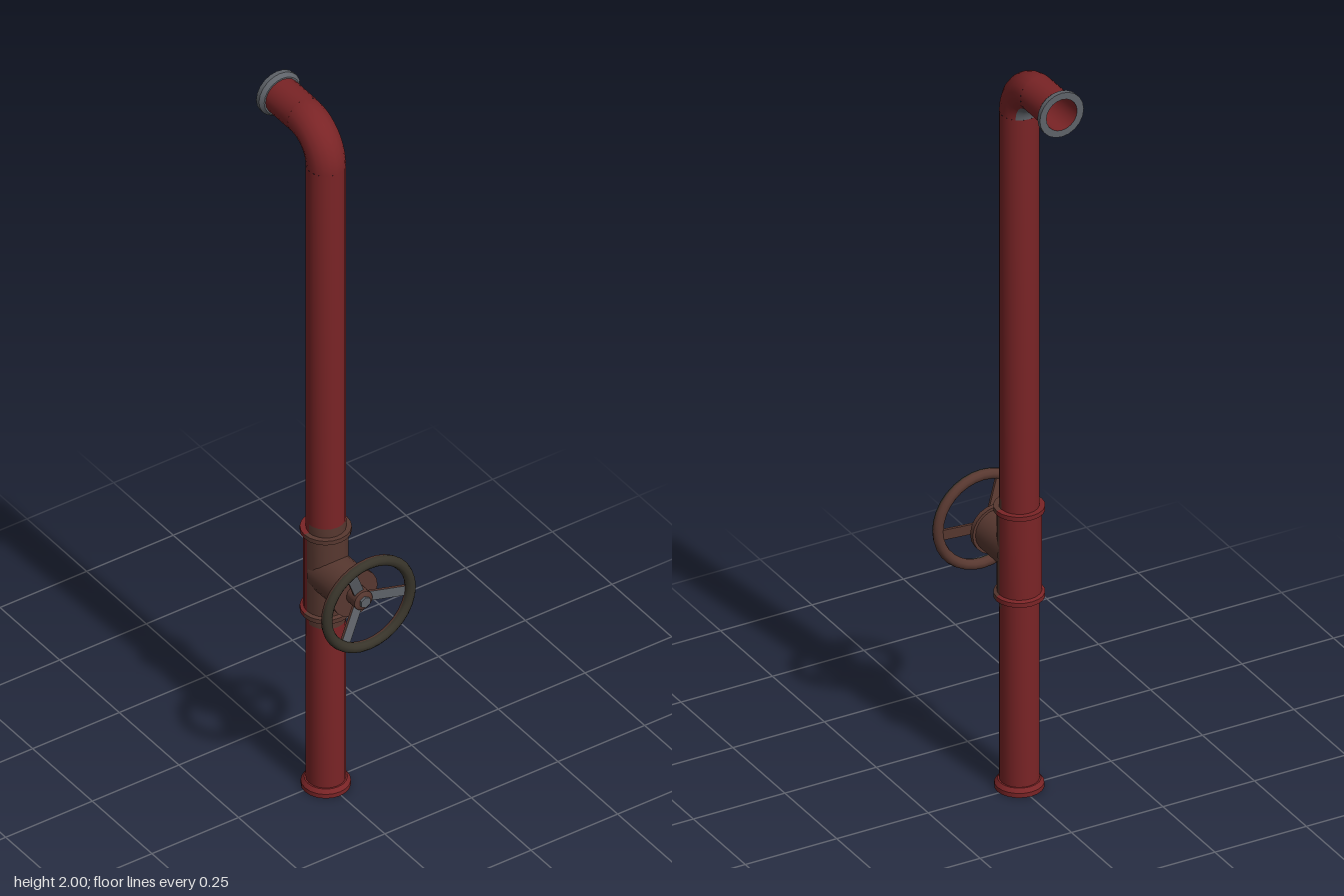
import * as THREE from 'three';
import { toCreasedNormals } from 'three/addons/utils/BufferGeometryUtils.js';

const mat = (name, color) => {
  const m = new THREE.MeshStandardMaterial({ color });
  m.name = name;
  return m;
};

export function createModel() {
  const red = mat('red paint', 0x7a2426);
  const brown = mat('rusty brown', 0x583830);
  const dark = mat('dark rim', 0x38342a);
  const steel = mat('grey steel', 0x5e6268);

  const root = new THREE.Group();
  root.name = 'pipeWithValve';
  const PX = -0.003, PZ = 0.007, R = 0.048, BORE = 0.042;
  const BEND = 0.09, TOP = 1.94, VALVE_Y = 0.645;

  const add = (name, geo, material, parent = root) => {
    const m = new THREE.Mesh(geo, material);
    m.name = name;
    parent.add(m);
    return m;
  };
  const lathe = (pts, start = 0, length = Math.PI * 2, seg = 20) => toCreasedNormals(
    new THREE.LatheGeometry(pts.map(p => new THREE.Vector2(...p)), seg, start, length), 0.6);

  // Torus whose tube rows from..to carry the second material
  const bandedTorus = (r, tube, rows, cols, arc, from, to) => {
    const g = new THREE.TorusGeometry(r, tube, rows, cols, arc);
    const n = cols * 6;
    g.addGroup(0, from * n, 0);
    g.addGroup(from * n, (to - from) * n, 1);
    g.addGroup(to * n, (rows - to) * n, 0);
    return g;
  };

  // Upright pipe with its foot flange, open at the bottom
  const upright = new THREE.Group();
  upright.name = 'upright';
  upright.position.set(PX, 0, PZ);
  root.add(upright);
  add('uprightPipe', lathe([[R, 0.015], [R, TOP - BEND]]), red, upright);
  add('uprightBore', lathe([[BORE, 0.4], [BORE, 0]]), red, upright);
  add('boreEnd', new THREE.CircleGeometry(BORE, 20).rotateX(Math.PI / 2).translate(0, 0.4, 0), red, upright);
  add('footFlange', lathe([[BORE, 0], [0.06, 0], [0.06, 0.012], [0.052, 0.022], [R, 0.022]]), red, upright);

  // Elbow, with bare metal on the inside of the bend
  const elbow = add('elbow', bandedTorus(BEND, R, 18, 10, Math.PI / 2, 7, 11), [red, steel]);
  elbow.position.set(PX, TOP - BEND, PZ - BEND);
  elbow.rotation.y = -Math.PI / 2;

  // Horizontal outlet with steel flange and open mouth
  const outlet = new THREE.Group();
  outlet.name = 'outlet';
  outlet.position.set(PX, TOP, PZ - BEND);
  outlet.rotation.x = -Math.PI / 2;
  root.add(outlet);
  const END = 0.198 + PZ - BEND;
  add('outletPipe', lathe([[R, 0], [R, END - 0.01]]), red, outlet);
  add('outletBore', lathe([[BORE, END], [BORE, 0]]), red, outlet);
  add('outletBoreEnd', new THREE.CircleGeometry(BORE, 20).rotateX(-Math.PI / 2), red, outlet);
  add('outletFlange', lathe([[R, END - 0.022], [0.052, END - 0.022], [0.06, END - 0.012],
    [0.06, END], [BORE, END]]), steel, outlet);

  // Valve body: rusty front half, painted back half
  const body = [[R, 0.522], [0.062, 0.522], [0.062, 0.534], [0.054, 0.538],
    [0.054, 0.755], [0.062, 0.758], [0.062, 0.77], [R, 0.77]];
  add('valveBodyFront', lathe(body, -Math.PI / 2, Math.PI, 10), brown, upright);
  add('valveBodyBack', lathe(body, Math.PI / 2, Math.PI, 10), red, upright);
  for (const y of [0.497, 0.77]) {
    add('rustBand', lathe([[R + 0.001, y], [R + 0.001, y + 0.025]], -Math.PI / 2, Math.PI, 10), brown, upright);
  }

  // Bonnet and stem pointing forward
  const bonnet = new THREE.Group();
  bonnet.name = 'bonnet';
  bonnet.position.set(PX, VALVE_Y, 0);
  bonnet.rotation.x = Math.PI / 2;
  root.add(bonnet);
  add('bonnetBody', lathe([[0.057, 0.01], [0.057, 0.118], [0.064, 0.118],
    [0.064, 0.131], [0, 0.131]]), brown, bonnet);
  add('stem', lathe([[0.026, 0.13], [0.026, 0.165], [0.018, 0.169], [0, 0.169]]), brown, bonnet);
  add('stemNut', lathe([[0.015, 0.168], [0.015, 0.175], [0, 0.175]], 0, Math.PI * 2, 6), steel, bonnet);

  // Handwheel: rim dark in front and rusty behind, three dished spokes
  const wheel = new THREE.Group();
  wheel.name = 'handwheel';
  wheel.position.set(0, VALVE_Y, 0.1815);
  root.add(wheel);
  add('rim', bandedTorus(0.1205, 0.0135, 10, 32, Math.PI * 2, 5, 10), [dark, brown], wheel);
  for (const deg of [-5, 115, 235]) {
    const arm = new THREE.Group();
    arm.name = 'spokeArm';
    arm.rotation.z = deg * Math.PI / 180;
    wheel.add(arm);
    const spoke = add('spoke', new THREE.BoxGeometry(0.105, 0.027, 0.007),
      [brown, brown, brown, brown, steel, brown], arm);
    spoke.position.set(0.067, 0, -0.017);
    spoke.rotation.y = -0.25;
  }
  return root;
}
